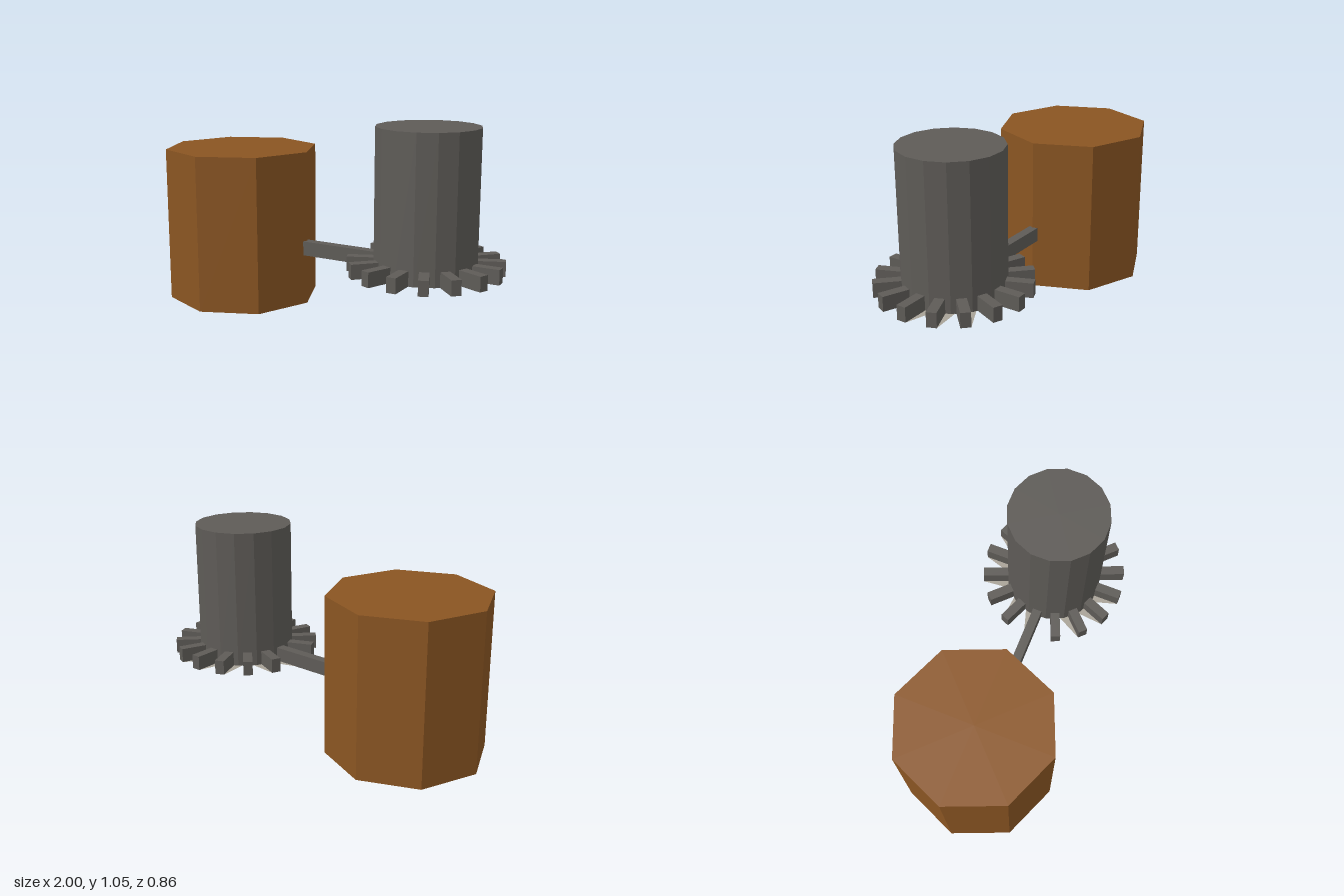
import * as THREE from 'three';

const TEETH = 16, HUB_R = 0.273, TIP_R = 0.412, HALF_W = 0.026;
const BASE_Y = 0.285, TOOTH_H = 0.08;

export function createModel() {
  const model = new THREE.Group();
  const mat = (name, color, extra = {}) => {
    const m = new THREE.MeshStandardMaterial({ color, flatShading: true, ...extra });
    m.name = name;
    return m;
  };
  const brown = mat('brown', 0x8a5522);
  const darkGrey = mat('darkGrey', 0x5e5b57);
  const paleGrey = mat('paleGrey', 0xa8a297, { side: THREE.DoubleSide });

  const add = (parent, name, geometry, material, x, y, z) => {
    const mesh = new THREE.Mesh(geometry, material);
    mesh.name = name;
    mesh.position.set(x, y, z);
    parent.add(mesh);
    return mesh;
  };

  // Octagonal wooden block
  add(model, 'woodBlock', new THREE.CylinderGeometry(0.432, 0.432, 0.866, 8), brown, -0.568, 0.433, 0);

  // Toothed wheel with a tall drum
  const wheel = new THREE.Group();
  wheel.name = 'wheel';
  wheel.position.set(0.588, BASE_Y, 0);
  model.add(wheel);
  const drumH = 1.055 - BASE_Y;
  const drum = add(wheel, 'drum', new THREE.CylinderGeometry(HUB_R, HUB_R, drumH, TEETH),
    [darkGrey, darkGrey, paleGrey], 0, drumH / 2, 0);
  drum.rotation.y = Math.PI / TEETH;

  // Teeth on every flat of the drum; the one facing the block is the long arm
  const barMaterials = [darkGrey, darkGrey, darkGrey, paleGrey, darkGrey, darkGrey];
  const inner = 0.25;
  for (let i = 0; i < TEETH; i++) {
    const isArm = i === TEETH / 2;
    const end = isArm ? 0.733 : TIP_R;
    const spoke = new THREE.Group();
    spoke.name = isArm ? 'armMount' : 'toothMount';
    spoke.rotation.y = (i / TEETH) * Math.PI * 2;
    wheel.add(spoke);
    add(spoke, isArm ? 'arm' : 'tooth', new THREE.BoxGeometry(end - inner, TOOTH_H, HALF_W * 2),
      barMaterials, (end + inner) / 2, TOOTH_H / 2, 0);
  }

  // Thin triangular webs between the teeth, flush with the underside
  const corner = (i, r, side) => {
    const a = (i / TEETH) * Math.PI * 2;
    const w = HALF_W * side;
    return [r * Math.cos(a) - w * Math.sin(a), 0.001, -r * Math.sin(a) - w * Math.cos(a)];
  };
  const addWeb = (a, b, side) => {
    const geometry = new THREE.BufferGeometry();
    geometry.setAttribute('position', new THREE.Float32BufferAttribute(
      [...corner(a, TIP_R, side), ...corner(a, 0.26, side), ...corner(b, 0.26, -side)], 3));
    geometry.computeVertexNormals();
    add(wheel, 'web', geometry, paleGrey, 0, 0, 0);
  };
  for (let i = 0; i < 6; i++) addWeb(i, i + 1, 1);
  for (const i of [7, 8, 10, 11, 12]) addWeb(i, i - 1, -1);

  // Small pin under the hub
  const pin = add(wheel, 'pin', new THREE.BoxGeometry(0.045, 0.006, 0.045), paleGrey, 0, -0.001, 0);
  pin.rotation.y = Math.PI / 4;

  return model;
}
